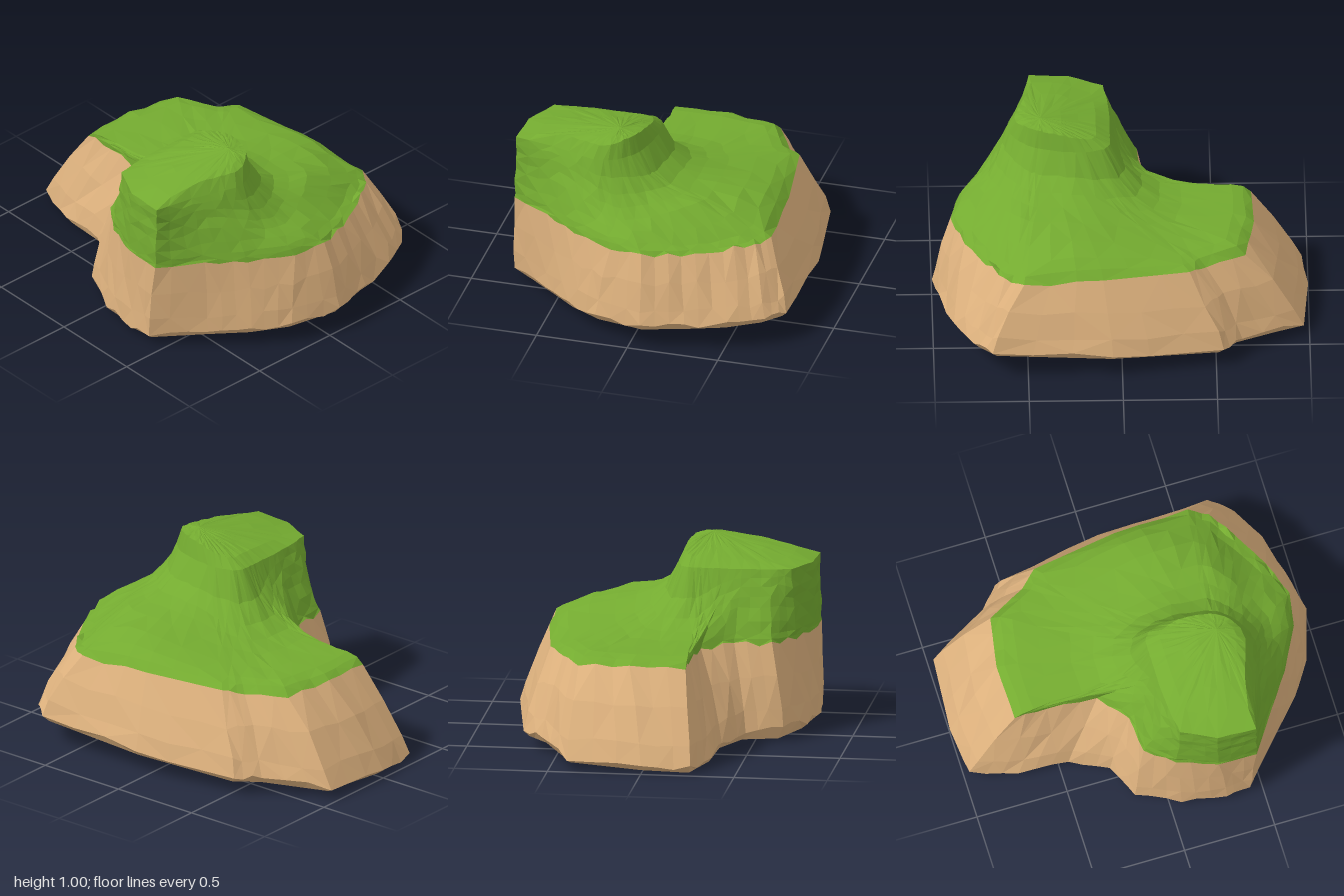
import * as THREE from 'three';

// matching outlines [x, z]: foot of the cliff, grass line, rim of the knoll
const FOOT = [[.06, .75], [.3, .79], [.43, .78], [.64, .55], [.8, .38], [.92, .2], [1, -.07],
  [.95, -.3], [.89, -.52], [.79, -.7], [.69, -.79], [.05, -.79], [-.54, -.69], [-.64, -.58],
  [-.97, -.4], [-1, 0], [-.97, .26], [-.72, .34], [-.45, .36], [-.25, .46], [-.17, .65]];
const GRASS = [[.05, .69], [.26, .77], [.47, .77], [.62, .55], [.75, .36], [.87, .13], [.9, -.05],
  [.83, -.25], [.72, -.45], [.62, -.6], [.52, -.66], [.1, -.64], [-.36, -.57], [-.45, -.49],
  [-.66, -.38], [-.71, -.1], [-.7, .2], [-.52, .2], [-.25, .22], [-.12, .38], [-.1, .58]];
const KNOLL = [[.08, .66], [.26, .75], [.47, .76], [.51, .55], [.56, .4], [.59, .3], [.58, .22],
  [.54, .16], [.5, .12], [.45, .09], [.4, .07], [.3, .05], [.2, .04], [.14, .05],
  [.08, .07], [.05, .11], [.05, .16], [.05, .22], [.05, .3], [.05, .4], [.06, .55]];
const SUB = 3;

let seed = 7;
const jitter = (amount) => {
  seed = (seed * 16807) % 2147483647;
  return (seed / 2147483647 - 0.5) * 2 * amount;
};
const lerp = THREE.MathUtils.lerp;
const smooth = THREE.MathUtils.smoothstep;
const mix = (a, b, t) => [lerp(a[0], b[0], t), lerp(a[1], b[1], t)];

// subdivide each side of an outline
function refine(outline) {
  const out = [];
  outline.forEach((p, i) => {
    const q = outline[(i + 1) % outline.length];
    for (let k = 0; k < SUB; k++) out.push(mix(p, q, k / SUB));
  });
  return out;
}

// skin between stacked rings, with optional centre points closing either end
function skin(rings, bottom, top) {
  const n = rings[0].length;
  const pos = rings.flat(2);
  const index = [];
  for (let r = 0; r < rings.length - 1; r++) {
    for (let i = 0; i < n; i++) {
      const j = (i + 1) % n;
      const a = r * n + i, b = r * n + j, c = b + n, d = a + n;
      if ((i + r) % 2) index.push(a, b, c, a, c, d);
      else index.push(a, b, d, b, c, d);
    }
  }
  const cap = (point, ring, up) => {
    const centre = pos.length / 3;
    pos.push(...point);
    for (let i = 0; i < n; i++) {
      const a = ring * n + i, b = ring * n + (i + 1) % n;
      index.push(...(up ? [a, b, centre] : [b, a, centre]));
    }
  };
  if (bottom) cap(bottom, 0, false);
  if (top) cap(top, rings.length - 1, true);
  const geo = new THREE.BufferGeometry();
  geo.setAttribute('position', new THREE.Float32BufferAttribute(pos, 3));
  geo.setIndex(index);
  const flat = geo.toNonIndexed();
  flat.computeVertexNormals();
  return flat;
}

export function createModel() {
  const sand = new THREE.MeshStandardMaterial({ color: 0xdeb27e, flatShading: true });
  sand.name = 'sandstone';
  const green = new THREE.MeshStandardMaterial({ color: 0x74ab30, flatShading: true });
  green.name = 'grass green';

  const foot = refine(FOOT), grass = refine(GRASS), knoll = refine(KNOLL);

  // flat underside, tilted up towards the back and right
  const floorY = (x, z) => 0.06 + 0.045 * x - 0.057 * z;
  const centre = [0.1, -0.05];
  const under = foot.map((p) => {
    const [x, z] = mix(centre, p, 0.96);
    return [x, floorY(x, z), z];
  });
  // ragged lip at the widest point, higher in the notch
  const lipY = (x, z) => floorY(x, z) + 0.035
    + 0.05 * Math.exp(-((x + 0.1) ** 2 + (z - 0.6) ** 2) / 0.03);
  const lip = foot.map(([x, z]) => [x, lipY(x, z) + jitter(0.018), z]);
  const wall = (t, bulge) => foot.map((p, i) => {
    const [x, z] = mix(p, grass[i], t - bulge);
    return [x + jitter(0.006), lerp(lipY(...p), 0.52, t) + jitter(0.015), z + jitter(0.006)];
  });
  // grass line, shared by cliff and grass
  const line = grass.map(([x, z]) => [x, 0.518 + jitter(0.015), z]);
  const cliff = new THREE.Mesh(
    skin([under, lip, wall(0.22, 0.05), wall(0.6, 0.06), line],
      [centre[0], floorY(...centre), centre[1]], null), sand);
  cliff.name = 'cliff';

  // plateau with a rounded edge, sweeping up into the knoll
  const slope = (t) => grass.map((g, i) => {
    const [x, z] = mix(g, knoll[i], t);
    const length = Math.hypot(g[0] - knoll[i][0], g[1] - knoll[i][1]);
    const plateau = 0.565 + (0.08 + 0.035 * smooth(z, -0.6, -0.1)) * smooth(x, -0.4, 0.35)
      - 0.08 * smooth(x, 0.5, 0.78) - 0.25 * Math.max(0, x - z - 0.8);
    const h = plateau + (0.885 - plateau) * Math.exp(-length * (1 - t) / 0.09);
    const rise = 1 - (1 - t) ** Math.max(1, length / 0.06);
    const wobble = t < 1 ? 0.005 : 0.002;
    return [x + jitter(wobble), 0.52 + (h - 0.52) * rise + jitter(wobble * 0.7), z + jitter(wobble)];
  });
  const peak = [0.42, 0.2];
  const crown = (t) => knoll.map((k) => {
    const [x, z] = mix(k, peak, t);
    const fall = 0.18 * Math.hypot(x - peak[0], z - peak[1])
      + 0.1 * Math.max(0, 0.3 - x) + 0.3 * Math.max(0, x - 0.5);
    return [x, 1 - fall + jitter(0.003), z];
  });
  const turf = new THREE.Mesh(
    skin([line, ...[0.06, 0.14, 0.3, 0.5, 0.65, 0.78, 0.9, 1].map(slope), ...[0.2, 0.45, 0.7].map(crown)],
      null, [peak[0], 1, peak[1]]), green);
  turf.name = 'grassTop';

  const group = new THREE.Group();
  group.name = 'grassyRock';
  group.add(cliff, turf);
  return group;
}
